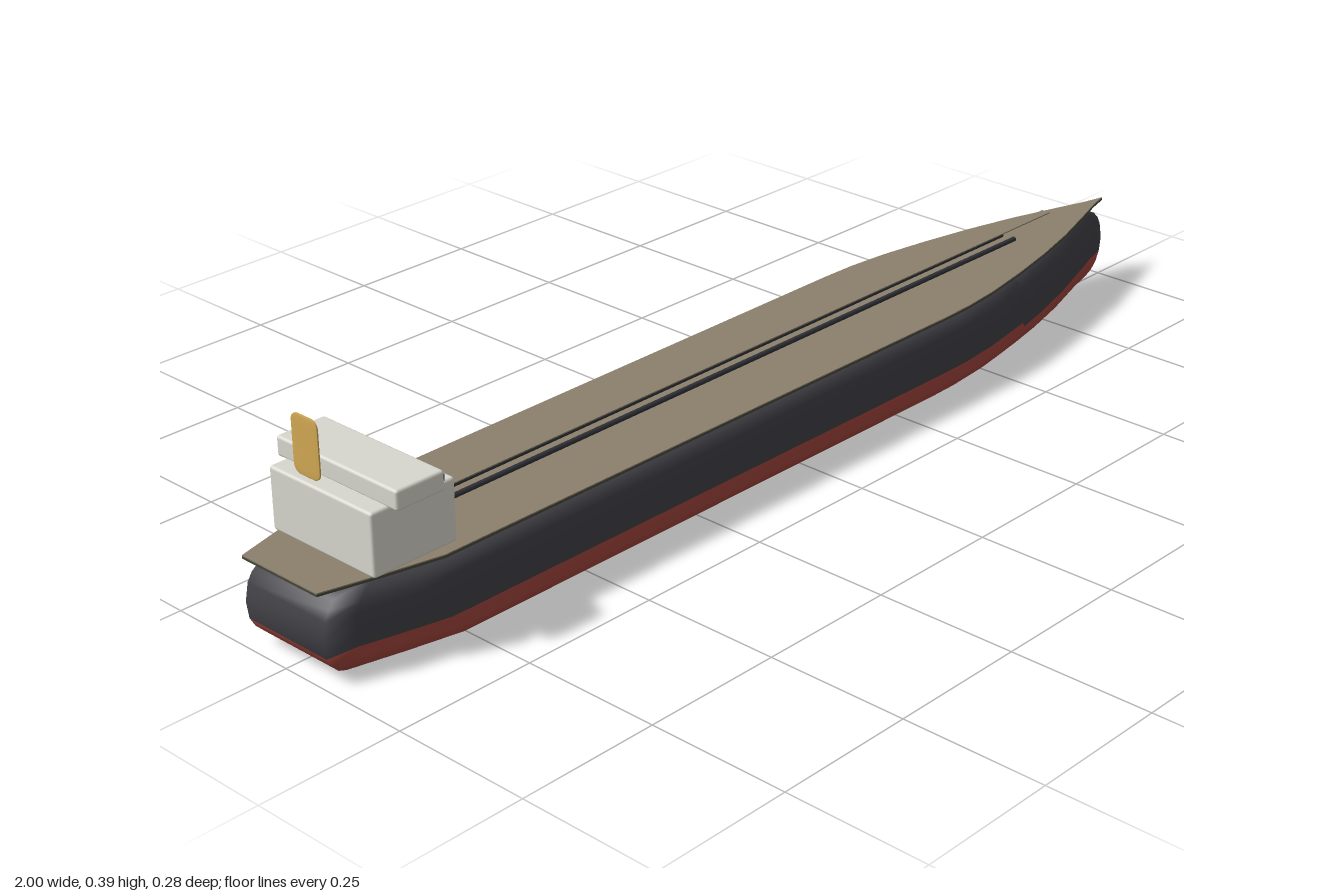
import * as THREE from 'three';
import { RoundedBoxGeometry } from 'three/addons/geometries/RoundedBoxGeometry.js';

const flat = (name, color) => {
  const m = new THREE.MeshStandardMaterial({ color });
  m.name = name;
  return m;
};

// Half-width of the plan outline at x from -1 (stern) to 1 (bow)
const PLAN = [[-1, 0.088], [-0.9, 0.114], [-0.8, 0.137], [0.35, 0.14], [0.42, 0.138], [0.5, 0.13],
  [0.6, 0.113], [0.7, 0.092], [0.8, 0.066], [0.9, 0.034], [0.96, 0.014], [1, 0.004]];
function halfWidth(x) {
  for (let i = 1; i < PLAN.length; i++) {
    const [x0, w0] = PLAN[i - 1], [x1, w1] = PLAN[i];
    if (x <= x1) return w0 + (w1 - w0) * (x - x0) / (x1 - x0);
  }
  return PLAN[PLAN.length - 1][1];
}

// Painted waterline, stepping down towards the ends
const waterline = x => (x > 0.62 ? 0.046 + 0.02 * (x - 0.62) : x < -0.95 ? 0.05 : 0.056);

// Rounded hull: plan outlines stacked in height, each [y, width factor, half length]
function hullGeometry() {
  const rows = [[0.003, 0, 0.92], [0.003, 0.66, 0.925], [0.005, 0.78, 0.935], [0.01, 0.88, 0.95],
    [0.02, 0.955, 0.97], [0.034, 0.99, 0.984], [0.053, 1, 0.993], [0.08, 1, 0.997],
    [0.11, 1, 0.991], [0.125, 0.985, 0.983], [0.138, 0.955, 0.97], [0.147, 0.88, 0.95],
    [0.151, 0.78, 0.935], [0.153, 0.66, 0.925], [0.153, 0, 0.92]];
  const paintRow = 6;
  const stations = [-1, -0.95, -0.9, -0.85, -0.8, -0.6, -0.2, 0.2, 0.35, 0.42, 0.5, 0.55, 0.62, 0.626,
    0.7, 0.75, 0.8, 0.85, 0.9, 0.93, 0.96, 0.98, 1];
  const ring = [...stations.map(t => [t, 1]), ...stations.slice().reverse().map(t => [t, -1])];
  const n = ring.length, pos = [], index = [];
  rows.forEach(([y, f, len], i) => ring.forEach(([t, side]) =>
    pos.push(t * len, i === paintRow ? waterline(t) : y, side * f * halfWidth(t))));
  for (let i = 0; i < rows.length - 1; i++) {
    for (let j = 0; j < n; j++) {
      const k = (j + 1) % n, a = i * n + j, b = i * n + k;
      index.push(a, b, b + n, a, b + n, a + n);
    }
  }
  const g = new THREE.BufferGeometry();
  g.setAttribute('position', new THREE.Float32BufferAttribute(pos, 3));
  g.setIndex(index);
  const split = paintRow * n * 6;
  g.addGroup(0, split, 0);
  g.addGroup(split, index.length - split, 1);
  g.computeVertexNormals();
  return g;
}

// Flat deck plate following the plan outline
function deckGeometry(thickness) {
  const port = PLAN.map(([x, w]) => new THREE.Vector2(x, (w - 0.004) * 0.998));
  const starboard = port.map(p => new THREE.Vector2(p.x, -p.y)).reverse();
  const shape = new THREE.Shape([...starboard, ...port]);
  return new THREE.ExtrudeGeometry(shape, { depth: thickness, bevelEnabled: false }).rotateX(-Math.PI / 2);
}

export function createModel() {
  const ship = new THREE.Group();
  ship.name = 'cargoShip';
  const red = flat('antifoulingRed', 0xa3453c);
  const black = flat('hullCharcoal', 0x404046);
  const brown = flat('deckBrown', 0x8c806c);
  const olive = flat('deckEdgeOlive', 0x45473b);
  const white = flat('houseWhite', 0xd8d7ce);
  const dark = flat('darkGlassAndPipe', 0x303238);
  const gold = flat('funnelGold', 0xd2a954);

  const add = (name, geometry, material, x = 0, y = 0, z = 0) => {
    const mesh = new THREE.Mesh(geometry, material);
    mesh.name = name;
    mesh.position.set(x, y, z);
    ship.add(mesh);
    return mesh;
  };

  // Hull and deck
  add('hull', hullGeometry(), [red, black]);
  add('deckEdge', deckGeometry(0.004), olive, 0, 0.154, 0);
  add('deck', deckGeometry(0.002), brown, 0, 0.158, 0);

  // Deck pipes either side of the raised catwalk
  for (const side of [-1, 1]) {
    const pipe = new THREE.CylinderGeometry(0.0045, 0.0045, 1.41, 12).rotateZ(Math.PI / 2);
    add(side > 0 ? 'pipeFront' : 'pipeBack', pipe, dark, 0, 0.167, side * 0.0145);
  }
  add('catwalk', new THREE.BoxGeometry(1.64, 0.002, 0.017), brown, 0, 0.183, 0);

  // Deckhouse and wider bridge with its window band
  add('deckhouse', new RoundedBoxGeometry(0.16, 0.106, 0.228, 2, 0.005), white, -0.838, 0.212, 0);
  add('bridge', new RoundedBoxGeometry(0.092, 0.034, 0.268, 2, 0.005), white, -0.84, 0.279, 0);
  add('bridgeWindows', new THREE.BoxGeometry(0.006, 0.011, 0.256), dark, -0.793, 0.2805, 0);

  // Thin rounded funnel plate behind the bridge
  const funnel = add('funnel', new RoundedBoxGeometry(0.058, 0.097, 0.058, 4, 0.014), gold, -0.935, 0.34, 0);
  funnel.scale.x = 0.07;

  return ship;
}
